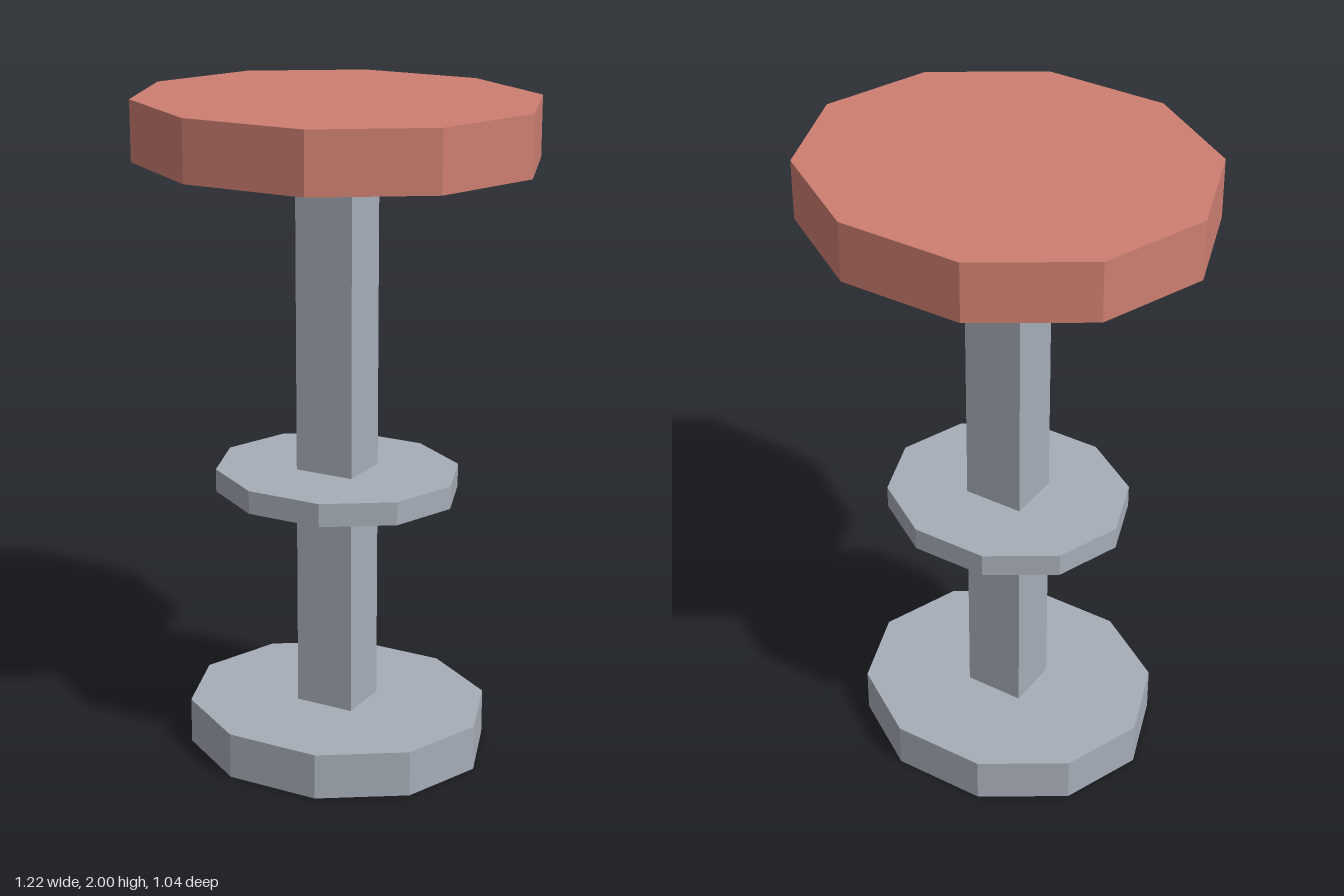
import * as THREE from 'three';

export function createModel() {
  const group = new THREE.Group();
  group.name = 'barStool';

  const cushion = new THREE.MeshStandardMaterial({ color: 0xcd7f71 });
  cushion.name = 'cushion red';
  const metal = new THREE.MeshStandardMaterial({ color: 0xa6adb8 });
  metal.name = 'metal grey';
  cushion.flatShading = metal.flatShading = true;

  const add = (name, geometry, material, y) => {
    const mesh = new THREE.Mesh(geometry, material);
    mesh.name = name;
    mesh.position.y = y;
    group.add(mesh);
  };

  // Ten-sided disc with corners on the x axis, slightly narrower in z
  const disc = (name, rx, rz, bottom, top, material) => {
    const geometry = new THREE.CylinderGeometry(1, 1, top - bottom, 10, 1, false, Math.PI / 2);
    geometry.scale(rx, 1, rz);
    add(name, geometry, material, (bottom + top) / 2);
  };

  disc('base', 0.47, 0.421, 0, 0.14, metal);
  disc('footrest', 0.378, 0.338, 0.82, 0.89, metal);
  disc('seat', 0.612, 0.549, 1.82, 2, cushion);

  // Square post from base to seat
  add('post', new THREE.BoxGeometry(0.186, 1.68, 0.166), metal, 0.98);

  return group;
}
